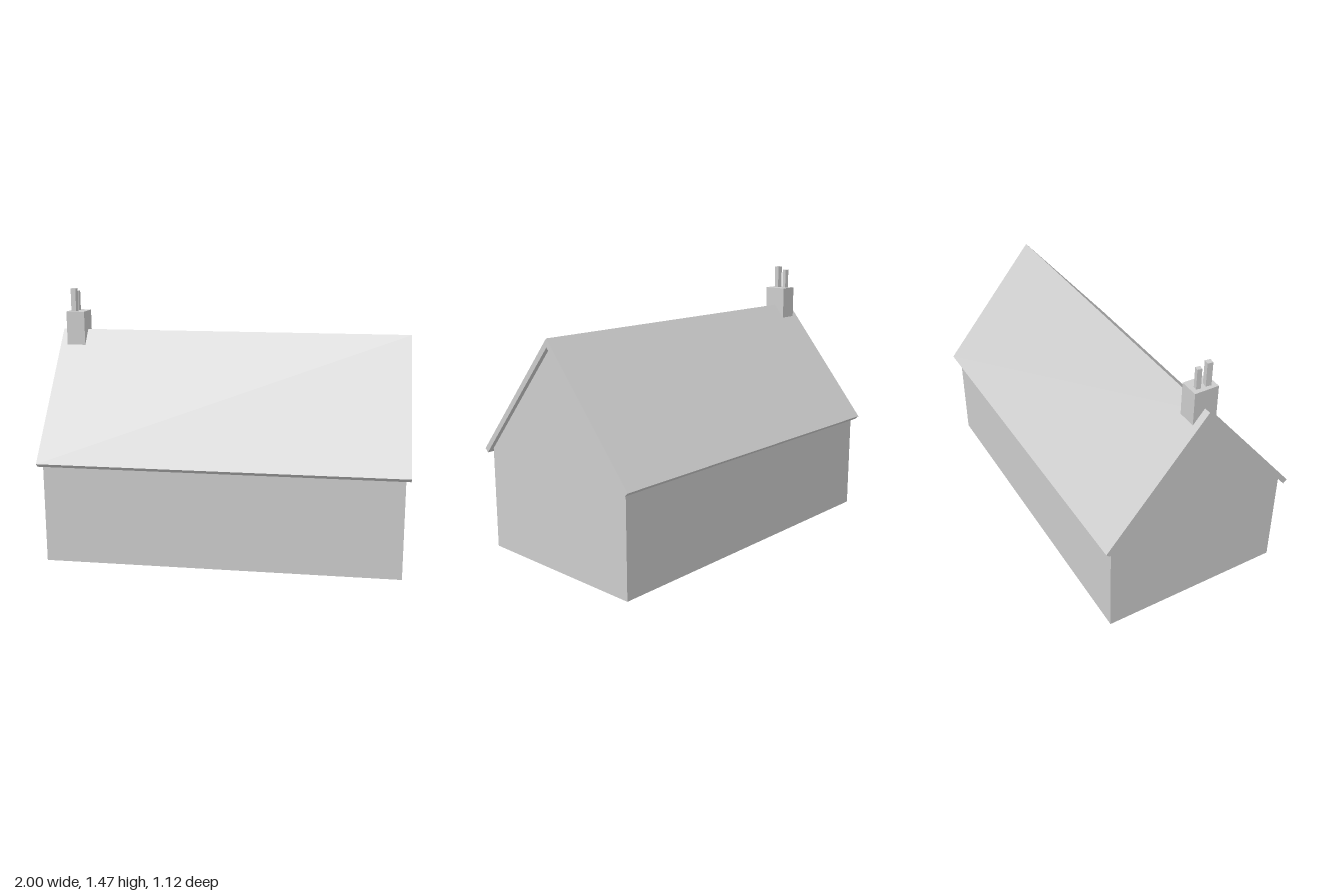
import * as THREE from 'three';

const plaster = new THREE.MeshStandardMaterial({ color: 0xcccccc, side: THREE.DoubleSide });
plaster.name = 'pale grey';

const RIDGE = 1.233, UNDER_RIDGE = 1.188; // ridge height, outer and under the slab
const PITCH = 1.19;                       // roof drop per unit of z
const WALL_X = 0.975, WALL_Z = 0.52;
const EAVE_Y = UNDER_RIDGE - PITCH * WALL_Z;

function add(group, name, geometry, x = 0, y = 0, z = 0) {
  const mesh = new THREE.Mesh(geometry, plaster);
  mesh.name = name;
  mesh.position.set(x, y, z);
  group.add(mesh);
  return mesh;
}

// Shape from [z, y] points
const outline = (points) => new THREE.Shape(points.map(([z, y]) => new THREE.Vector2(z, y)));

// Extrudes a [z, y] profile along x, from x0 to x1
function alongX(points, x0, x1) {
  const geometry = new THREE.ExtrudeGeometry(outline(points), { depth: x1 - x0, bevelEnabled: false });
  return geometry.rotateY(-Math.PI / 2).translate(x1, 0, 0);
}

export function createModel() {
  const house = new THREE.Group();
  house.name = 'house';

  // Hollow walls, open underneath
  const gable = [[-WALL_Z, 0], [WALL_Z, 0], [WALL_Z, EAVE_Y], [0, UNDER_RIDGE], [-WALL_Z, EAVE_Y]];
  for (const side of [1, -1]) {
    add(house, side > 0 ? 'leftGable' : 'rightGable',
      new THREE.ShapeGeometry(outline(gable)).rotateY(side * Math.PI / 2), side * WALL_X);
    const wall = add(house, side > 0 ? 'frontWall' : 'backWall',
      new THREE.PlaneGeometry(WALL_X * 2, EAVE_Y), 0, EAVE_Y / 2, side * WALL_Z);
    if (side < 0) wall.rotation.y = Math.PI;
  }

  // Pitched roof slab with square-cut eaves
  const tip = [0.56, RIDGE - PITCH * 0.56];
  const lip = [0.539, UNDER_RIDGE - PITCH * 0.539];
  add(house, 'roof', alongX([
    [0, RIDGE], [-tip[0], tip[1]], [-lip[0], lip[1]],
    [0, UNDER_RIDGE], lip, tip,
  ], -1, 1));

  // Chimney stack straddling the ridge; the base is notched to fit the roof
  const seat = (z) => [z, RIDGE - 0.01 - PITCH * Math.abs(z)];
  add(house, 'chimneyStack', alongX([
    [-0.065, 1.34], seat(-0.065), seat(0), seat(0.07), [0.07, 1.34],
  ], -0.96, -0.855));

  // Two square flues, slightly turned
  for (const [name, size, top, z] of [['tallFlue', 0.03, 1.47, 0.029], ['shortFlue', 0.025, 1.452, -0.027]]) {
    const height = top - 1.335;
    add(house, name, new THREE.BoxGeometry(size, height, size), -0.922, top - height / 2, z)
      .rotation.y = -0.15;
  }

  return house;
}
